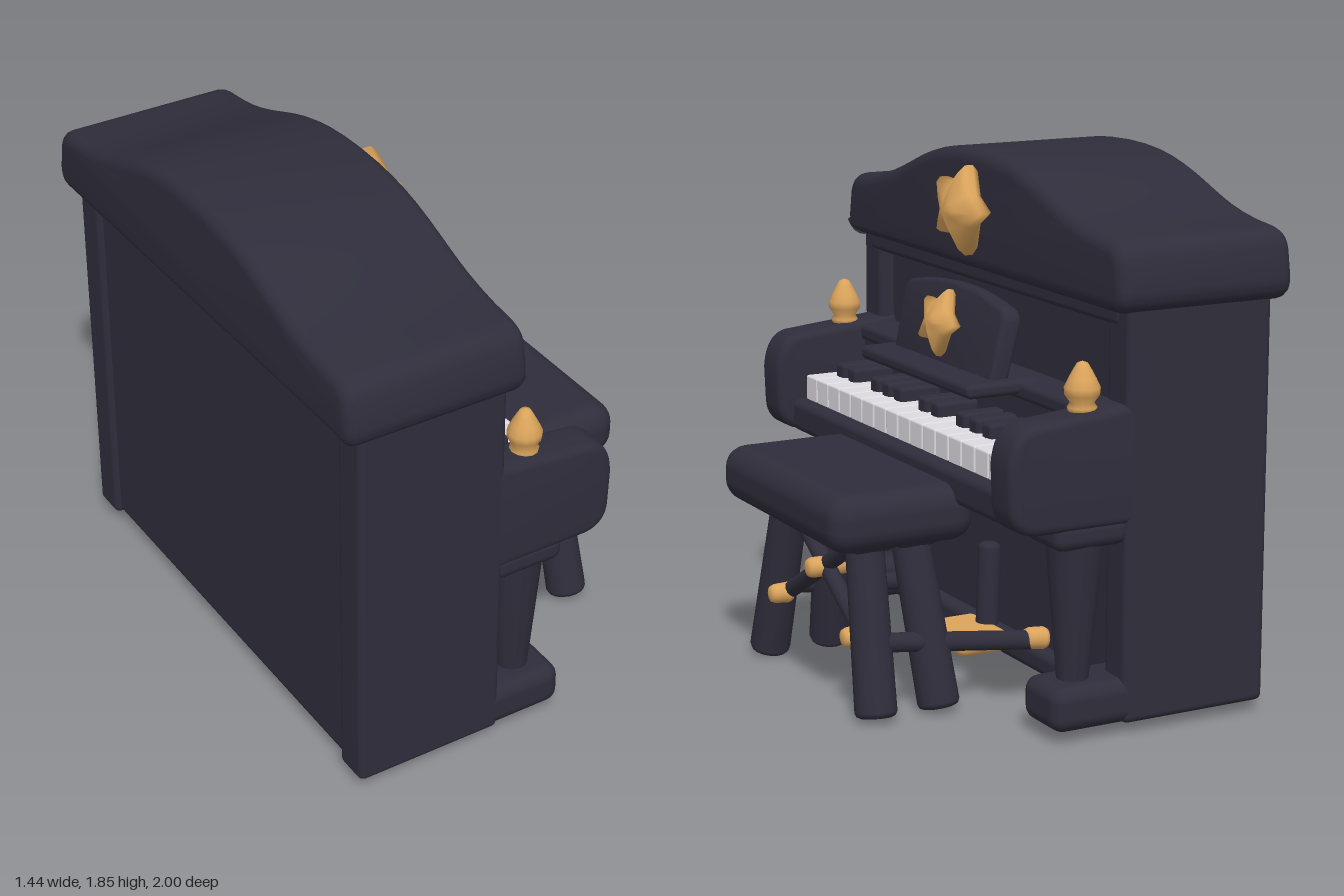
import * as THREE from 'three';
import { mergeVertices, toCreasedNormals } from 'three/addons/utils/BufferGeometryUtils.js';
import { RoundedBoxGeometry } from 'three/addons/geometries/RoundedBoxGeometry.js';

const mat = (name, color) => {
  const m = new THREE.MeshStandardMaterial({ color });
  m.name = name;
  return m;
};

export function createModel() {
  const dark = mat('midnight wood', 0x2f2d3b);
  const gold = mat('gold', 0xdba45c);
  const ivory = mat('ivory', 0xdedae0);
  const model = new THREE.Group();
  model.name = 'pianoWithStool';

  const add = (name, geometry, material, parent = model) => {
    const mesh = new THREE.Mesh(geometry, material);
    mesh.name = name;
    parent.add(mesh);
    return mesh;
  };
  // Rounded box from its limits on each axis
  const box = (name, [x0, x1], [y0, y1], [z0, z1], r, material = dark) => {
    const mesh = add(name, new RoundedBoxGeometry(x1 - x0, y1 - y0, z1 - z0, 3, r), material);
    mesh.position.set((x0 + x1) / 2, (y0 + y1) / 2, (z0 + z1) / 2);
    return mesh;
  };
  // Rounded rod between two points, r0 at a and r1 at b
  const rod = (name, a, b, r0, r1 = r0, material = dark) => {
    const from = new THREE.Vector3(...a), to = new THREE.Vector3(...b);
    const dir = to.clone().sub(from), len = dir.length(), e = 0.02;
    const profile = [[0, 0], [r0 - e, 0], [r0 - e * 0.3, e * 0.3], [r0, e], [r1, len - e],
      [r1 - e * 0.3, len - e * 0.3], [r1 - e, len], [0, len]].map(p => new THREE.Vector2(...p));
    const mesh = add(name, new THREE.LatheGeometry(profile, 16), material);
    mesh.position.copy(from);
    mesh.quaternion.setFromUnitVectors(new THREE.Vector3(0, 1, 0), dir.normalize());
    return mesh;
  };
  // Bevelled extrusion centred on its depth
  const slab = (shape, depth, bevel) => {
    const g = new THREE.ExtrudeGeometry(shape, {
      depth: depth - 2 * bevel, bevelThickness: bevel, bevelSize: bevel,
      bevelOffset: -bevel, bevelSegments: 4, curveSegments: 12 });
    g.translate(0, 0, -(depth - 2 * bevel) / 2);
    return toCreasedNormals(g, 0.7);
  };
  // Puffy five-pointed star facing +x: a ten-sided lathe with every other spoke pulled in
  const star = (name, R, thick, x, y, tilt) => {
    const profile = [[0, 0], [0.85, 0], [1, 0.2], [1, 0.45], [0.85, 0.65], [0.4, 0.88], [0, 1]]
      .map(([r, h]) => new THREE.Vector2(r * R, h * thick));
    let g = new THREE.LatheGeometry(profile, 10);
    const p = g.attributes.position;
    for (let i = 0; i < p.count; i++) {
      const spoke = Math.floor(i / profile.length);
      const k = spoke % 2 ? 0.58 : 1;
      p.setX(i, p.getX(i) * k);
      p.setZ(i, p.getZ(i) * k);
    }
    g.deleteAttribute('normal');
    g.deleteAttribute('uv');
    g = mergeVertices(g, 1e-4);
    g.computeVertexNormals();
    g.rotateX(Math.PI / 2).rotateZ(Math.PI / 2).rotateY(Math.PI / 2);
    const mesh = add(name, g, gold);
    mesh.position.set(x, y, 0);
    mesh.rotation.z = tilt;
    return mesh;
  };

  // Cabinet: recessed core, side walls and plinth
  box('cabinetCore', [-0.64, -0.16], [0.05, 1.46], [-0.93, 0.93], 0.02);
  box('plinth', [-0.64, -0.11], [0.04, 0.13], [-0.9, 0.9], 0.03);
  box('upperRail', [-0.3, -0.1], [1.37, 1.46], [-0.9, 0.9], 0.02);
  for (const s of [-1, 1]) {
    const z = (a, b) => (s > 0 ? [a, b] : [-b, -a]);
    box('sideWall', [-0.66, -0.105], [0.035, 1.46], z(0.82, 0.96), 0.025);

    // Key arm
    const arm = new THREE.Shape();
    arm.moveTo(-0.2, 0.72);
    arm.lineTo(0.23, 0.72);
    arm.quadraticCurveTo(0.32, 0.73, 0.325, 0.82);
    arm.lineTo(0.33, 0.95);
    arm.quadraticCurveTo(0.32, 1.07, 0.24, 1.085);
    arm.lineTo(-0.07, 1.115);
    arm.lineTo(-0.2, 1.13);
    add('keyArm', slab(arm, 0.155, 0.03), dark).position.z = s * 0.882;

    // Finial on the arm
    const bud = [[0, 0], [0.045, 0], [0.05, 0.02], [0.04, 0.035], [0.058, 0.06], [0.06, 0.085],
      [0.046, 0.115], [0.03, 0.145], [0.018, 0.165], [0, 0.172]].map(p => new THREE.Vector2(...p));
    add('finial', new THREE.LatheGeometry(bud, 12), gold).position.set(0.02, 1.095, s * 0.877);

    // Front leg with capital and foot
    box('legCapital', [-0.13, 0.15], [0.65, 0.75], z(0.72, 0.95), 0.04);
    rod('frontLeg', [0.025, 0.15, s * 0.84], [0.02, 0.7, s * 0.84], 0.053, 0.1);
    box('foot', [-0.2, 0.155], [0.035, 0.19], z(0.72, 0.96), 0.05);
  }

  // Arched lid
  const lid = new THREE.Shape();
  lid.moveTo(-0.94, 1.43);
  lid.lineTo(0.94, 1.42);
  lid.quadraticCurveTo(1, 1.43, 1, 1.5);
  lid.lineTo(0.985, 1.59);
  lid.quadraticCurveTo(0.97, 1.65, 0.9, 1.66);
  lid.bezierCurveTo(0.5, 1.69, 0.46, 1.85, 0, 1.85);
  lid.bezierCurveTo(-0.46, 1.85, -0.5, 1.69, -0.9, 1.66);
  lid.quadraticCurveTo(-0.97, 1.65, -0.985, 1.59);
  lid.lineTo(-1, 1.5);
  lid.quadraticCurveTo(-1, 1.43, -0.94, 1.42);
  const lidMesh = add('lid', slab(lid, 0.67, 0.045), dark);
  lidMesh.rotation.y = Math.PI / 2;
  lidMesh.position.x = -0.385;

  // Keyboard
  box('keyBed', [-0.2, 0.27], [0.72, 0.84], [-0.83, 0.83], 0.03);
  box('fallboard', [-0.2, -0.03], [0.8, 1.06], [-0.83, 0.83], 0.02);
  box('shelf', [-0.2, -0.015], [1.04, 1.1], [-0.83, 0.83], 0.02);
  const keys = 17, pitch = 1.6 / keys;
  for (let i = 0; i < keys; i++) {
    const z = 0.8 - pitch * (i + 0.5);
    box('whiteKey', [-0.05, 0.22], [0.83, 0.93], [z - pitch / 2 + 0.001, z + pitch / 2 - 0.001], 0.008, ivory);
    if (i < keys - 1 && ![2, 6].includes(i % 7)) {
      const b = z - pitch / 2;
      box('blackKey', [-0.05, 0.125], [0.91, 0.98], [b - 0.034, b + 0.034], 0.015);
    }
  }

  // Music ledge and stand
  box('musicLedge', [-0.1, 0.185], [1.06, 1.11], [-0.41, 0.41], 0.02);
  const desk = new THREE.Shape();
  desk.moveTo(-0.36, 0);
  desk.lineTo(0.36, 0);
  desk.lineTo(0.37, 0.22);
  desk.quadraticCurveTo(0.36, 0.26, 0.32, 0.265);
  desk.quadraticCurveTo(0, 0.335, -0.32, 0.265);
  desk.quadraticCurveTo(-0.36, 0.26, -0.37, 0.22);
  const stand = add('musicStand', slab(desk, 0.075, 0.02), dark);
  stand.rotation.set(0, Math.PI / 2, 0.22, 'ZYX');
  stand.position.set(0.04, 1.09, 0);
  star('standStar', 0.125, 0.085, 0.05, 1.25, 0.2);
  star('lidStar', 0.165, 0.12, -0.05, 1.645, 0);

  // Pedal and its post
  box('pedal', [-0.14, 0.07], [0.055, 0.135], [-0.14, 0.14], 0.035, gold);
  rod('pedalPost', [-0.115, 0.1, 0], [-0.125, 0.43, 0], 0.042);

  // Stool
  box('stoolSeat', [0.18, 0.72], [0.59, 0.79], [-0.485, 0.475], 0.08);
  for (const s of [-1, 1]) {
    for (const [xTop, xBottom] of [[0.355, 0.31], [0.52, 0.55]]) {
      rod('stoolLeg', [xBottom, 0.01, s * 0.435], [xTop, 0.64, s * 0.285], 0.073, 0.066);
      box('legCollar', [xTop - 0.08, xTop + 0.08], [0.565, 0.62], [s * 0.3 - 0.08, s * 0.3 + 0.08], 0.025);
    }
    // Crossed brace, its studs, and the floor stretcher
    rod('crossBrace', [0.52, 0.59, s * 0.27], [0.53, 0.25, -s * 0.32], 0.03);
    rod('braceStud', [0.52, 0.26, s * 0.295], [0.61, 0.26, s * 0.295], 0.038, 0.034, gold);
    rod('stretcher', [-0.1, 0.185, s * 0.42], [0.52, 0.26, s * 0.4], 0.034);
    rod('stretcherCap', [-0.12, 0.19, s * 0.425], [-0.03, 0.2, s * 0.42], 0.04, 0.038, gold);
  }
  rod('centreStud', [0.42, 0.43, 0], [0.6, 0.43, 0], 0.036, 0.036, gold);

  return model;
}
